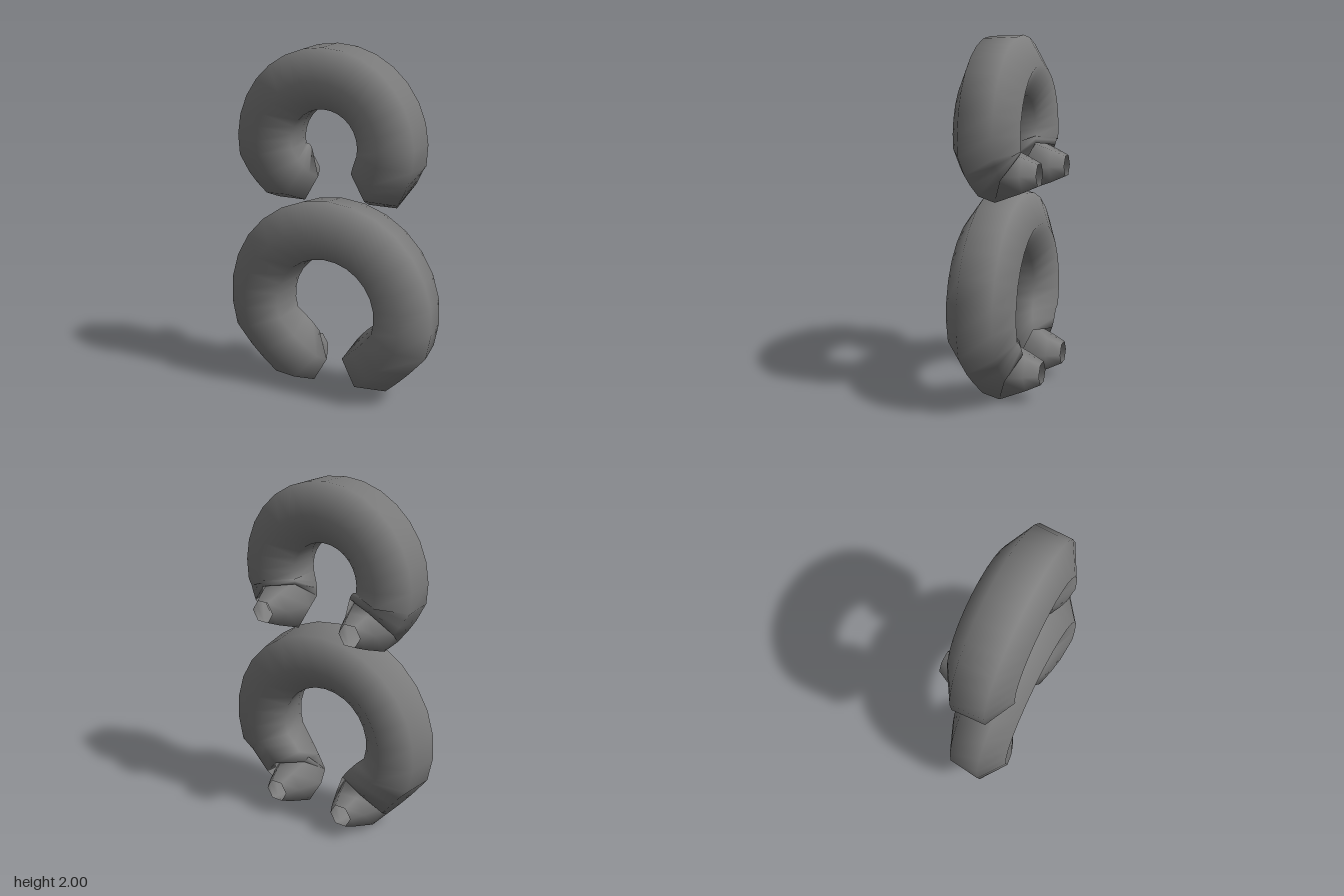
import * as THREE from 'three';

const SIDES = 6;
const lerp = THREE.MathUtils.lerp;
const rad = THREE.MathUtils.degToRad;

// Stations of each leg: blend to the end centre, tilt, radius, z.
// The back edge stays upright while the front rolls under, then the tip points back.
const LEG = [
  [0.35, 20, 0.187, 0.03],
  [0.6, 28, 0.185, 0.017],
  [0.9, 38, 0.18, 0],
  [1, 90, 0.168, -0.01],
  [1, 90, 0.108, -0.15],
  [1, 90, 0.067, -0.23],
];

// One six-sided cross-section; tilt leans its front edge along the leg
function section(centre, phi, tilt, r, roll, side) {
  const out = new THREE.Vector3(Math.cos(phi), Math.sin(phi), 0);
  const down = new THREE.Vector3(-out.y * side, out.x * side, 0);
  const front = down.multiplyScalar(Math.sin(tilt));
  front.z = Math.cos(tilt);
  const ring = [];
  for (let j = 0; j < SIDES; j++) {
    const a = (j / SIDES) * Math.PI * 2 + roll;
    ring.push(centre.clone()
      .addScaledVector(front, r * Math.cos(a))
      .addScaledVector(out, r * Math.sin(a)));
  }
  return ring;
}

// Skin the cross-sections with smooth normals; the tips stay open
function skin(sections) {
  const pos = [], index = [];
  sections.forEach(ring => ring.forEach(p => pos.push(p.x, p.y, p.z)));
  for (let i = 0; i < sections.length - 1; i++) {
    for (let j = 0; j < SIDES; j++) {
      const a = i * SIDES + j, b = i * SIDES + (j + 1) % SIDES;
      index.push(a, b, b + SIDES, a, b + SIDES, a + SIDES);
    }
  }
  const g = new THREE.BufferGeometry();
  g.setAttribute('position', new THREE.Float32BufferAttribute(pos, 3));
  g.setIndex(index);
  g.computeVertexNormals();
  return g;
}

// Open ring: an arc of tube whose two straighter legs turn backwards into small tips
function openRing({ cx, cy, radius, endAngle, roll, rightEnd, leftEnd }) {
  const last = rad(endAngle);
  const first = Math.PI - last;
  const onArc = phi => new THREE.Vector3(
    cx + radius * Math.cos(phi), cy + radius * Math.sin(phi), 0.04);

  const leg = (phi, end, side) => LEG.map(([t, tilt, r, z]) => {
    const c = onArc(phi).lerp(new THREE.Vector3(end[0], end[1], z), t);
    c.z = z;
    const target = side > 0 ? rad(210) : rad(-30);
    return section(c, lerp(phi, target, t), rad(tilt), r, roll * (1 - t), side);
  });

  const arc = [];
  const steps = 16;
  for (let i = 0; i <= steps; i++) {
    const phi = lerp(first, last, i / steps);
    arc.push(section(onArc(phi), phi, 0, 0.19, roll, 1));
  }
  return skin([...leg(first, rightEnd, -1).reverse(), ...arc, ...leg(last, leftEnd, 1)]);
}

export function createModel() {
  const group = new THREE.Group();
  group.name = 'stackedOpenRings';
  const material = new THREE.MeshStandardMaterial({ color: 0x7e7e7e, side: THREE.DoubleSide });

  const upper = new THREE.Mesh(openRing({
    cx: -0.013, cy: 1.467, radius: 0.367, endAngle: 190, roll: rad(-2),
    rightEnd: [0.28, 1.275], leftEnd: [-0.285, 1.258],
  }), material);
  upper.name = 'upperRing';

  const lower = new THREE.Mesh(openRing({
    cx: 0, cy: 0.525, radius: 0.455, endAngle: 198, roll: rad(7),
    rightEnd: [0.212, 0.165], leftEnd: [-0.235, 0.148],
  }), material);
  lower.name = 'lowerRing';

  group.add(upper, lower);
  return group;
}
